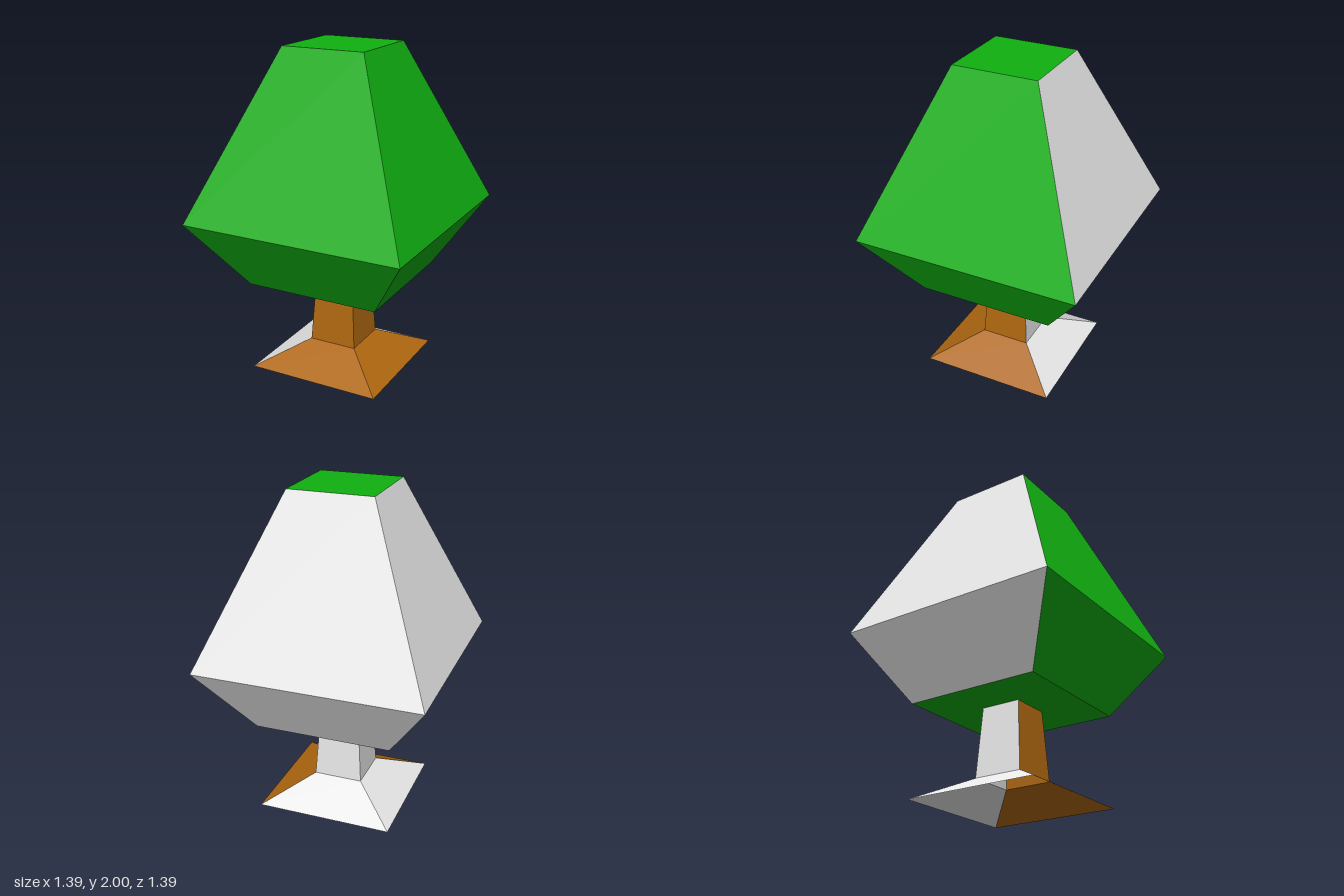
import * as THREE from 'three';

const flat = (name, color) => {
  const m = new THREE.MeshStandardMaterial({ color, side: THREE.DoubleSide });
  m.name = name;
  return m;
};

// Square rings [halfWidth, y] joined bottom to top; front and left sides are
// painted (material 0), back and right sides are pale (material 1).
function squareLoft(rings, capped) {
  const pos = [];
  const corners = ([w, y]) => [[-w, y, w], [w, y, w], [w, y, -w], [-w, y, -w]];
  const quad = (a, b, c, d) => pos.push(...a, ...b, ...c, ...a, ...c, ...d);
  const loops = rings.map(corners);
  const geo = new THREE.BufferGeometry();
  for (let side = 0; side < 4; side++) {
    const next = (side + 1) % 4;
    const start = pos.length / 3;
    for (let i = 0; i < loops.length - 1; i++) {
      quad(loops[i][side], loops[i][next], loops[i + 1][next], loops[i + 1][side]);
    }
    geo.addGroup(start, pos.length / 3 - start, side < 2 ? 0 : 1);
  }
  if (capped) {
    const start = pos.length / 3;
    const [a, b, c, d] = loops[0];
    quad(d, c, b, a);
    quad(...loops[loops.length - 1]);
    geo.addGroup(start, 12, 0);
  }
  geo.setAttribute('position', new THREE.Float32BufferAttribute(pos, 3));
  geo.computeVertexNormals(); // unshared corners give flat facets
  return geo;
}

export function createModel() {
  const green = flat('leafGreen', 0x11b011);
  const brown = flat('barkBrown', 0xaf6810);
  const pale = flat('paleGrey', 0xe7e7e7);
  const tree = new THREE.Group();
  tree.name = 'tree';

  const add = (name, rings, capped, paint) => {
    const mesh = new THREE.Mesh(squareLoft(rings, capped), [paint, pale]);
    mesh.name = name;
    tree.add(mesh);
  };

  // Hollow trunk with flared foot, open underneath
  add('trunk', [[0.42, 0], [0.152, 0.14], [0.125, 0.565]], false, brown);
  // Faceted crown, closed top and bottom
  add('crown', [[0.42, 0.565], [0.695, 0.987], [0.26, 2]], true, green);
  return tree;
}
